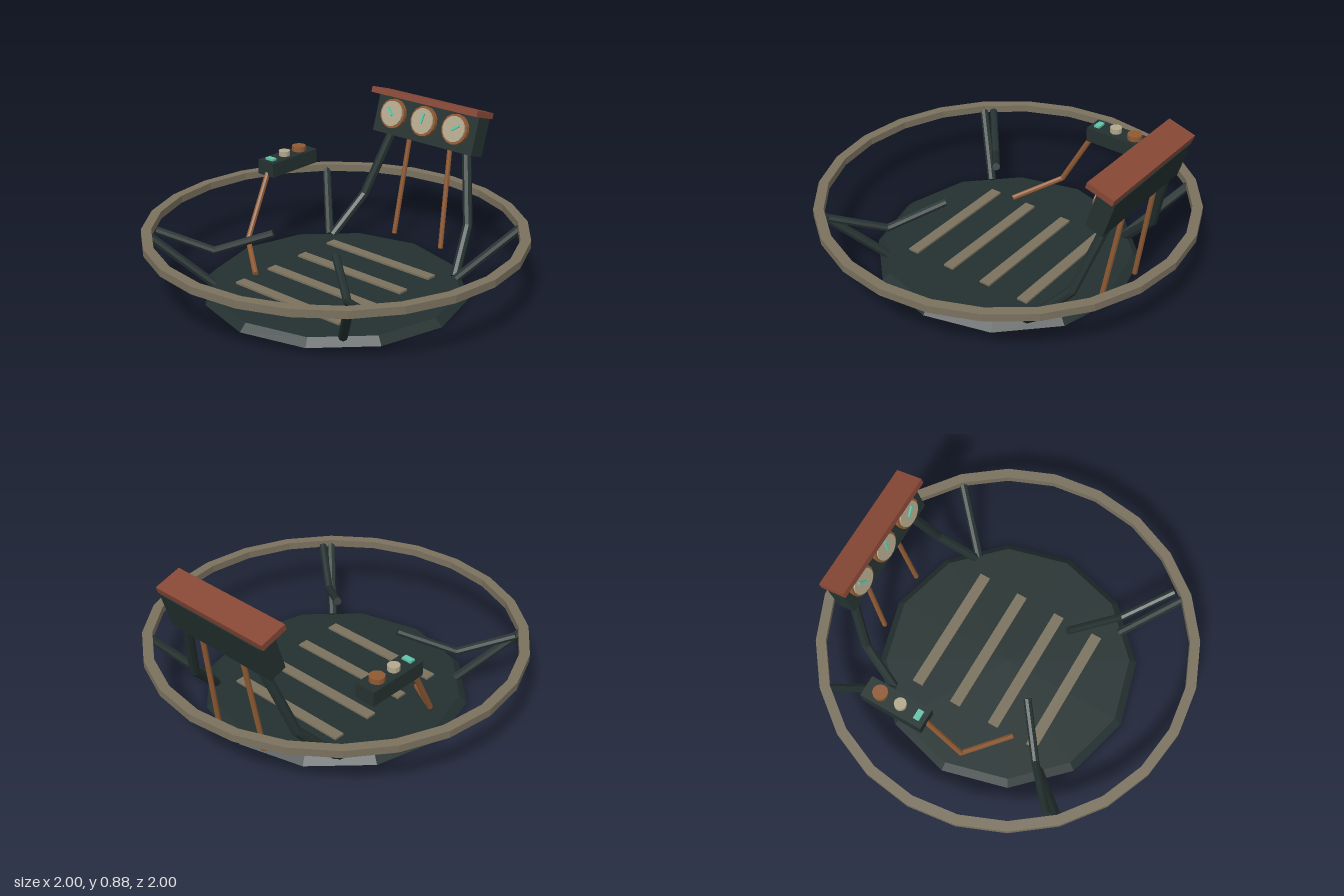
import * as THREE from 'three';

const flat = (name, color) => {
  const m = new THREE.MeshStandardMaterial({ color, flatShading: true });
  m.name = name;
  return m;
};

export function createModel() {
  const dark = flat('dark iron', 0x243130);
  const olive = flat('weathered olive', 0x7a715e);
  const red = flat('rust red', 0x864735);
  const copper = flat('copper', 0x8f5a33);
  const cream = flat('cream', 0xb3a88c);
  const teal = flat('teal', 0x62c4a8);

  const model = new THREE.Group();
  model.name = 'controlPlatform';

  const add = (parent, name, geometry, material, x = 0, y = 0, z = 0) => {
    const mesh = new THREE.Mesh(geometry, material);
    mesh.name = name;
    mesh.position.set(x, y, z);
    parent.add(mesh);
    return mesh;
  };
  const box = (w, h, d) => new THREE.BoxGeometry(w, h, d);
  const disc = (r, h, sides = 12) => new THREE.CylinderGeometry(r, r, h, sides);

  // Round bar running through a list of points, with a ball at each bend
  const bar = (name, points, r, material) => {
    const group = new THREE.Group();
    group.name = name;
    const pts = points.map((p) => new THREE.Vector3(...p));
    for (let i = 0; i < pts.length - 1; i++) {
      const dir = pts[i + 1].clone().sub(pts[i]);
      const mid = pts[i].clone().add(pts[i + 1]).multiplyScalar(0.5);
      const rod = add(group, name + 'Rod', disc(r, dir.length(), 8), material, mid.x, mid.y, mid.z);
      rod.quaternion.setFromUnitVectors(new THREE.Vector3(0, 1, 0), dir.normalize());
      if (i > 0) add(group, name + 'Joint', new THREE.SphereGeometry(r, 8, 6), material, ...points[i]);
    }
    model.add(group);
  };

  // Floor plate with slats
  add(model, 'floorPlate', new THREE.CylinderGeometry(0.66, 0.7, 0.038, 12), dark, 0, 0.019, 0);
  for (let i = 0; i < 4; i++) {
    add(model, 'floorSlat', box(0.72, 0.014, 0.06), olive, 0, 0.042, -0.355 + i * 0.235);
  }

  // Rail ring with a rectangular section
  const section = [[0.947, 0.31], [1, 0.31], [1, 0.35], [0.947, 0.35], [0.947, 0.31]];
  add(model, 'railRing', new THREE.LatheGeometry(section.map((p) => new THREE.Vector2(...p)), 24), olive);

  // Struts, armrests and panel supports, mirrored left and right
  for (const s of [-1, 1]) {
    for (const f of [-1, 1]) {
      bar('railStrut', [[s * 0.45, 0.035, f * 0.45], [s * 0.685, 0.32, f * 0.685]], 0.024, dark);
    }
    bar('frontArm', [[s * 0.69, 0.325, 0.62], [s * 0.46, 0.215, 0.43], [s * 0.215, 0.32, 0.24]], 0.021, dark);
    bar('panelSupport', [[s * 0.435, 0.035, -0.46], [s * 0.365, 0.25, -0.655], [s * 0.26, 0.615, -0.765]], 0.026, dark);
    bar('panelRod', [[s * 0.165, 0.05, -0.685], [s * 0.14, 0.61, -0.775]], 0.014, copper);
  }

  // Instrument panel, leaning back
  const panel = new THREE.Group();
  panel.name = 'instrumentPanel';
  panel.position.set(0, 0.713, -0.772);
  panel.rotation.x = -0.3;
  model.add(panel);
  add(panel, 'panelBody', box(0.68, 0.21, 0.1), dark);
  add(panel, 'panelHood', box(0.72, 0.033, 0.153), red, 0, 0.1215, 0.032);

  // Three dials with needles
  [[-0.213, 0.75], [0, -0.15], [0.213, -0.95]].forEach(([x, angle]) => {
    const dial = new THREE.Group();
    dial.name = 'dial';
    dial.position.set(x, 0.013, 0.05);
    panel.add(dial);
    add(dial, 'dialBezel', disc(0.083, 0.022, 16), copper, 0, 0, 0.011).rotation.x = Math.PI / 2;
    add(dial, 'dialFace', disc(0.071, 0.008, 16), cream, 0, 0, 0.026).rotation.x = Math.PI / 2;
    const needle = add(dial, 'dialNeedle', box(0.013, 0.058, 0.008), teal,
      -Math.sin(angle) * 0.015, Math.cos(angle) * 0.015, 0.034);
    needle.rotation.z = angle;
  });

  // Side control box on a bent copper rod
  const X = -0.615;
  add(model, 'controlBox', box(0.114, 0.08, 0.35), dark, X, 0.485, -0.285);
  add(model, 'largeKnob', disc(0.04, 0.028), copper, X, 0.539, -0.375);
  add(model, 'smallKnob', disc(0.032, 0.028), cream, X, 0.539, -0.258);
  add(model, 'button', box(0.054, 0.012, 0.032), teal, X, 0.531, -0.153);
  bar('controlRod', [[-0.61, 0.46, -0.12], [-0.592, 0.125, 0.06], [-0.36, 0.045, 0.235]], 0.015, copper);

  return model;
}
